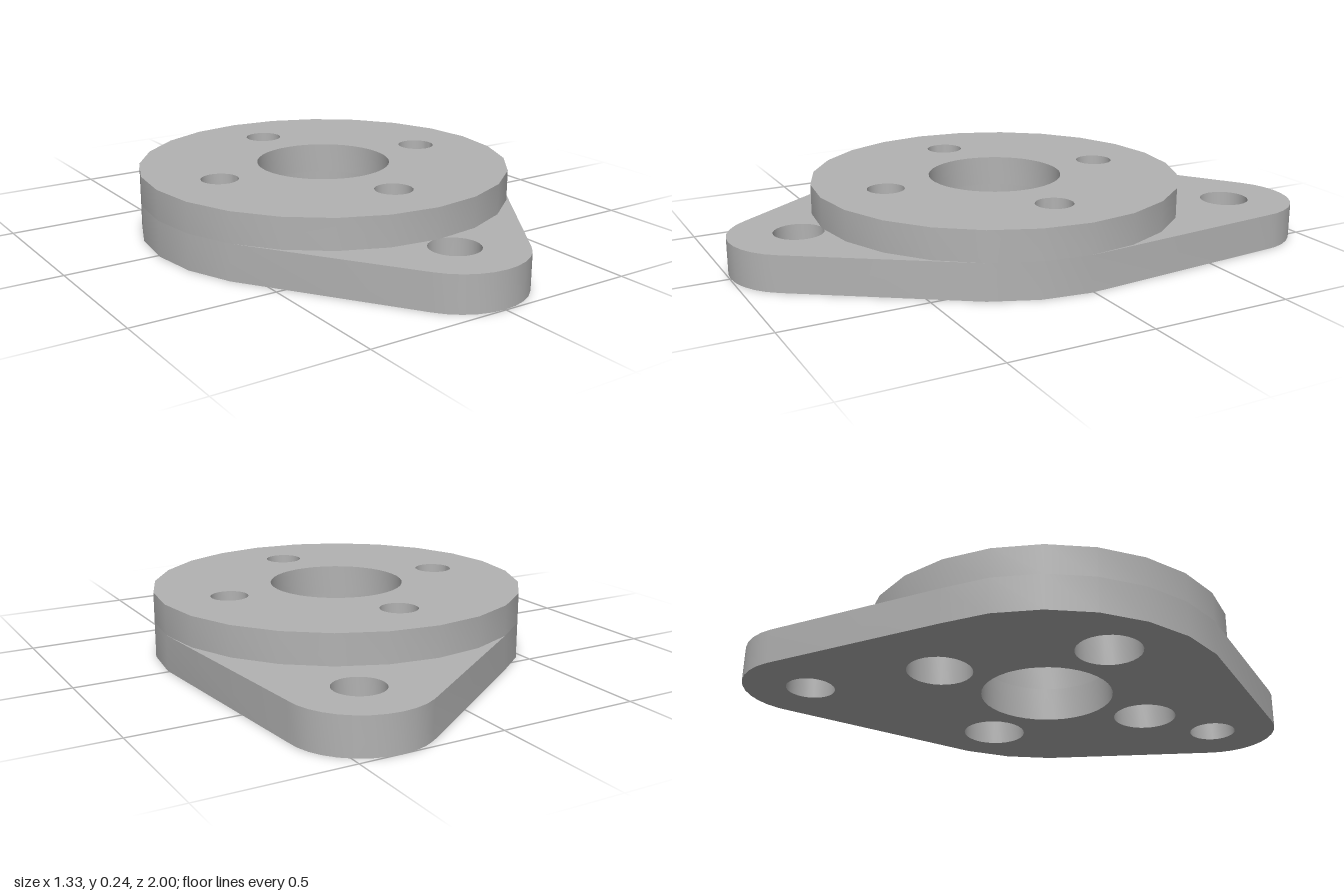
import * as THREE from 'three';
import { toCreasedNormals } from 'three/addons/utils/BufferGeometryUtils.js';

const CZ = 0.01; // hub centre along z

// Points of a circle, in plan coordinates (x, -z)
function circle(x, z, r, n) {
  return Array.from({ length: n }, (_, i) => {
    const a = (i / n) * Math.PI * 2;
    return new THREE.Vector2(x + r * Math.cos(a), -z + r * Math.sin(a));
  });
}

// Convex outline around a set of points, counter-clockwise
function hull(points) {
  const sorted = [...points].sort((a, b) => a.x - b.x || a.y - b.y);
  const chain = (list) => {
    const out = [];
    for (const p of list) {
      while (out.length > 1) {
        const a = out[out.length - 2], b = out[out.length - 1];
        if ((b.x - a.x) * (p.y - a.y) - (b.y - a.y) * (p.x - a.x) > 1e-6) break;
        out.pop();
      }
      out.push(p);
    }
    out.pop();
    return out;
  };
  return [...chain(sorted), ...chain(sorted.reverse())];
}

// Upright slab with holes, from y0 to y1
function slab(name, outline, holes, y0, y1, material) {
  const shape = new THREE.Shape(outline);
  shape.holes = holes.map((h) => new THREE.Path(h));
  let geo = new THREE.ExtrudeGeometry(shape, { depth: y1 - y0, bevelEnabled: false });
  geo.rotateX(-Math.PI / 2);
  geo.translate(0, y0, 0);
  geo = toCreasedNormals(geo, Math.PI / 5);
  const mesh = new THREE.Mesh(geo, material);
  mesh.name = name;
  return mesh;
}

export function createModel() {
  const group = new THREE.Group();
  group.name = 'mountingFlange';
  const metal = new THREE.MeshStandardMaterial({ color: 0xb2b2b2 });
  metal.name = 'grey metal';

  const disc = circle(0, CZ, 0.665, 24);
  const lugs = [[0, 0.757], [0.36, -0.763]];
  const bore = circle(0, CZ, 0.24, 40);
  const boltCircle = (r) => [0, 1, 2, 3].map((i) => {
    const a = (i * Math.PI) / 2;
    return circle(0.427 * Math.cos(a), CZ + 0.427 * Math.sin(a), r, 28);
  });

  // Base plate wraps the disc and both lugs; wide counterbores underneath
  const outline = hull([...disc, ...lugs.flatMap(([x, z]) => circle(x, z, 0.24, 32))]);
  const lugHoles = lugs.map(([x, z]) => circle(x, z, 0.087, 28));
  group.add(slab('basePlate', outline, [bore, ...boltCircle(0.117), ...lugHoles], 0, 0.128, metal));

  // Raised round hub with narrow bolt holes
  group.add(slab('hubDisc', disc, [bore, ...boltCircle(0.066)], 0.128, 0.236, metal));
  return group;
}
